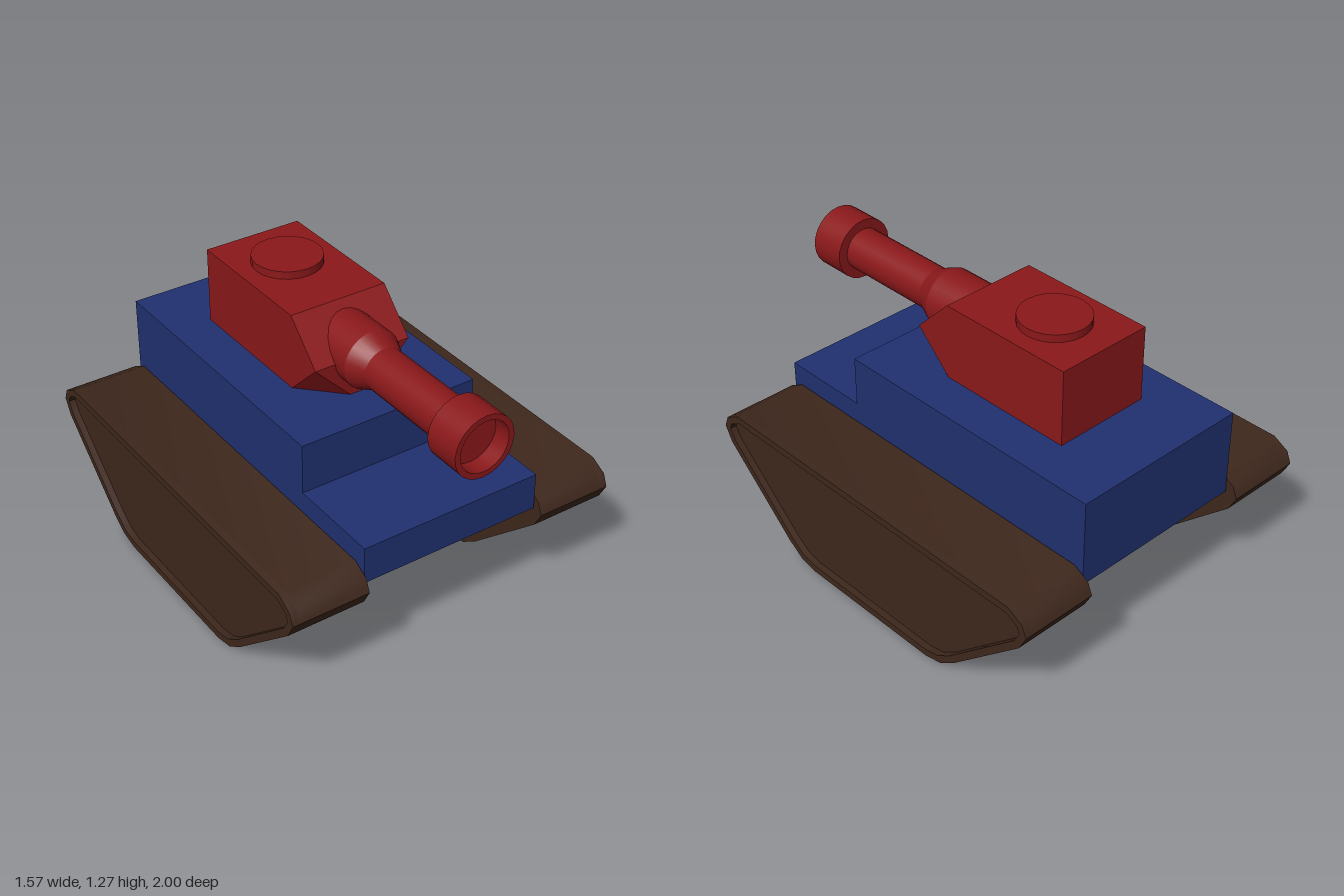
import * as THREE from 'three';
import { toCreasedNormals } from 'three/addons/utils/BufferGeometryUtils.js';
import { ConvexGeometry } from 'three/addons/geometries/ConvexGeometry.js';

const V2 = (x, y) => new THREE.Vector2(x, y);

// Moves every corner of a counter-clockwise outline inwards by d
function inset(points, d) {
  const n = points.length;
  return points.map((p, i) => {
    const a = p.clone().sub(points[(i + n - 1) % n]).normalize();
    const b = points[(i + 1) % n].clone().sub(p).normalize();
    const na = V2(-a.y, a.x), nb = V2(-b.y, b.x);
    return na.clone().add(nb).multiplyScalar(d / (1 + na.dot(nb))).add(p);
  });
}

function extrude(shape, depth) {
  return new THREE.ExtrudeGeometry(shape, { depth, bevelEnabled: false });
}

export function createModel() {
  const model = new THREE.Group();
  const red = new THREE.MeshStandardMaterial({ color: 0x8a181a });
  const blue = new THREE.MeshStandardMaterial({ color: 0x20306f });
  const brown = new THREE.MeshStandardMaterial({ color: 0x3e271c });

  const add = (name, geometry, material, parent = model) => {
    const mesh = new THREE.Mesh(geometry, material);
    mesh.name = name;
    parent.add(mesh);
    return mesh;
  };

  // Hull: stepped side profile as (-z, y), extruded across x
  const hullProfile = [
    [-0.5, 0.28], [0.76, 0.28], [0.945, 0.495], [0.945, 0.893],
    [-0.4, 0.893], [-0.4, 0.665], [-0.83, 0.665], [-0.83, 0.495],
  ].map(p => V2(...p));
  const hull = extrude(new THREE.Shape(hullProfile), 0.85);
  hull.translate(0, 0, -0.425).rotateY(Math.PI / 2);
  add('hull', hull, blue);

  // Tracks: rounded trapezoid body with a raised rim on the outer face
  const half = [
    [0.36, 0], [0.45, 0.02], [0.53, 0.075], [0.9, 0.41],
    [0.9375, 0.48], [0.915, 0.535], [0.84, 0.575],
  ].map(p => V2(...p));
  const outline = [...half, ...half.map(p => V2(-p.x, p.y)).reverse()];
  const rimShape = new THREE.Shape(outline);
  rimShape.holes.push(new THREE.Path(inset(outline, 0.033)));
  for (const [side, label] of [[1, 'left'], [-1, 'right']]) {
    const track = new THREE.Group();
    track.name = label + 'Track';
    const body = extrude(new THREE.Shape(outline), 0.325).translate(0, 0, 0.43);
    const rim = extrude(rimShape, 0.03).translate(0, 0, 0.755);
    add(label + 'TrackBody', toCreasedNormals(body, 0.7), brown, track);
    add(label + 'TrackRim', toCreasedNormals(rim, 0.7), brown, track);
    track.rotation.y = side * Math.PI / 2;
    track.position.z = -0.0625;
    model.add(track);
  }

  // Turret: box with a sloped upper front and cut lower front corners
  const corners = [];
  for (const s of [1, -1]) {
    for (const [x, y, z] of [
      [0.23, 0.893, -0.625], [0.23, 1.24, -0.625], [0.23, 1.24, 0.03],
      [0.23, 1.065, 0.205], [0.23, 0.893, 0.03], [0.06, 0.893, 0.205],
    ]) corners.push(new THREE.Vector3(s * x, y, z));
  }
  add('turret', new ConvexGeometry(corners), red);

  // Hatch
  const hatch = new THREE.CylinderGeometry(0.155, 0.155, 0.055, 24);
  add('hatch', hatch, red).position.set(0, 1.2475, -0.35);

  // Gun: mantlet, taper, barrel and hollow muzzle turned as one piece
  const gunProfile = [
    [0, 0], [0.135, 0], [0.135, 0.27], [0.097, 0.355], [0.097, 0.83],
    [0.141, 0.83], [0.141, 1], [0.116, 1], [0.116, 0.92], [0, 0.92],
  ].map(p => V2(...p));
  const gun = new THREE.LatheGeometry(gunProfile, 24).rotateX(Math.PI / 2);
  add('gun', toCreasedNormals(gun, 0.4), red).position.y = 1.075;

  return model;
}
